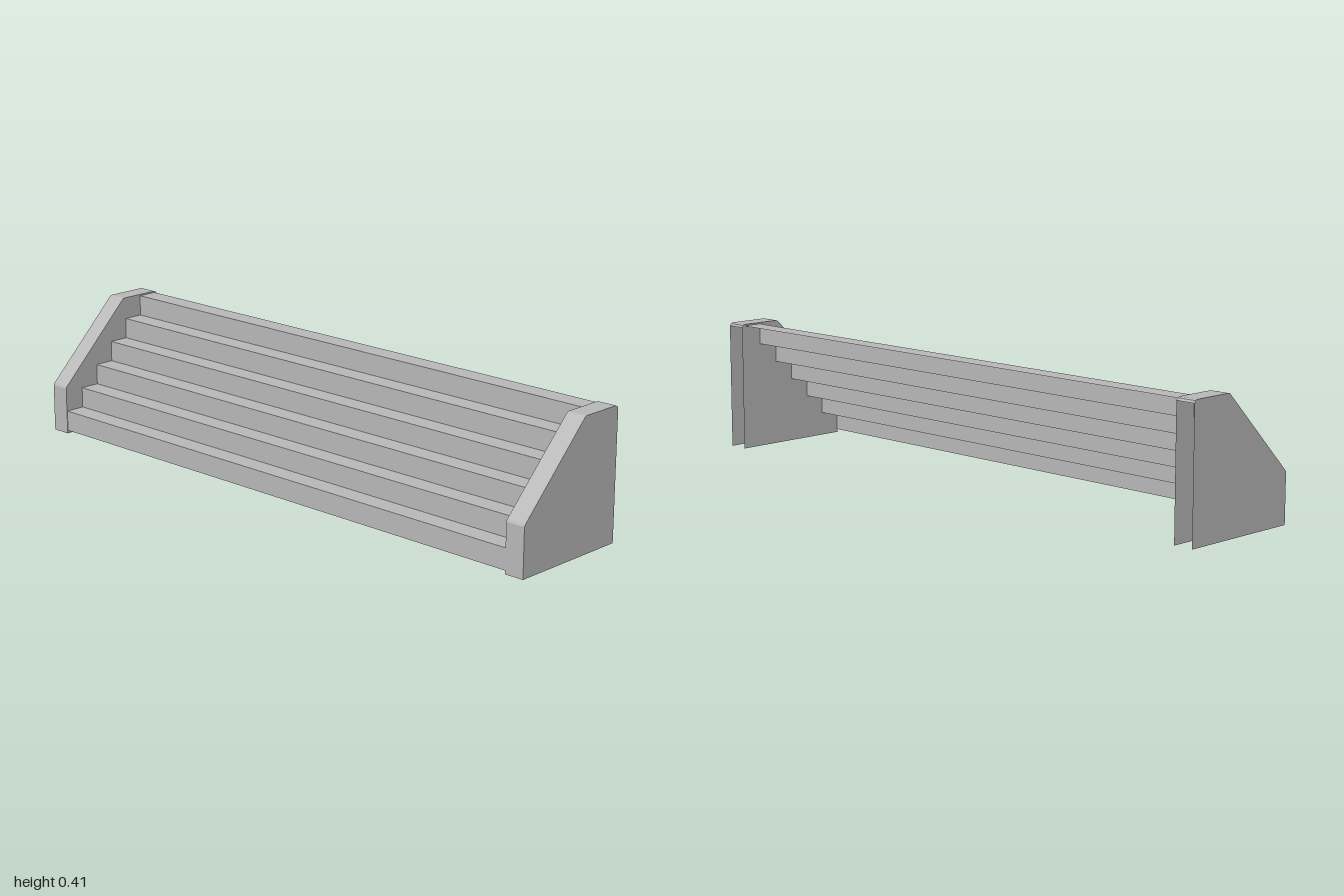
import * as THREE from 'three';

// Sheet swept along z from a profile of [x, y] points, outside on the left of travel
function ribbon(points, z0, z1) {
  const pos = [];
  for (let i = 0; i < points.length - 1; i++) {
    const [ax, ay] = points[i], [bx, by] = points[i + 1];
    pos.push(ax, ay, z0, ax, ay, z1, bx, by, z1);
    pos.push(ax, ay, z0, bx, by, z1, bx, by, z0);
  }
  const g = new THREE.BufferGeometry();
  g.setAttribute('position', new THREE.Float32BufferAttribute(pos, 3));
  g.computeVertexNormals();
  return g;
}

export function createModel() {
  const concrete = new THREE.MeshStandardMaterial({ color: 0xb8b8b8, side: THREE.DoubleSide });
  concrete.name = 'concrete grey';
  const model = new THREE.Group();
  model.name = 'staircase';
  const add = (name, geometry, parent) => {
    const mesh = new THREE.Mesh(geometry, concrete);
    mesh.name = name;
    parent.add(mesh);
    return mesh;
  };

  // Folded sheet of six risers and treads, open behind and below
  const steps = 6, run = 0.0662, rise = 0.0667, x0 = -0.202, y0 = 0.01;
  const profile = [[x0, y0]];
  for (let i = 0; i < steps; i++) {
    const y = y0 + (i + 1) * rise;
    profile.push([x0 + i * run, y], [x0 + (i + 1) * run, y]);
  }
  add('steps', ribbon(profile, -0.937, 0.937), model);

  // Hollow side walls: two panels joined by a cap along the front, slope and top
  const edge = [
    [-0.204, 0], [-0.204, 0.154], [-0.201, 0.160], [0.051, 0.411], [0.055, 0.414],
    [0.060, 0.415], [0.193, 0.415], [0.200, 0.412], [0.204, 0.405],
  ];
  const outline = new THREE.Shape([...edge, [0.204, 0]].map(([x, y]) => new THREE.Vector2(x, y)));
  for (const side of [1, -1]) {
    const wall = new THREE.Group();
    wall.name = side > 0 ? 'frontSideWall' : 'backSideWall';
    add('outerPanel', new THREE.ShapeGeometry(outline), wall).position.z = side;
    add('innerPanel', new THREE.ShapeGeometry(outline), wall).position.z = side * 0.936;
    add('cap', ribbon(edge, side > 0 ? 0.936 : -1, side > 0 ? 1 : -0.936), wall);
    model.add(wall);
  }
  return model;
}
